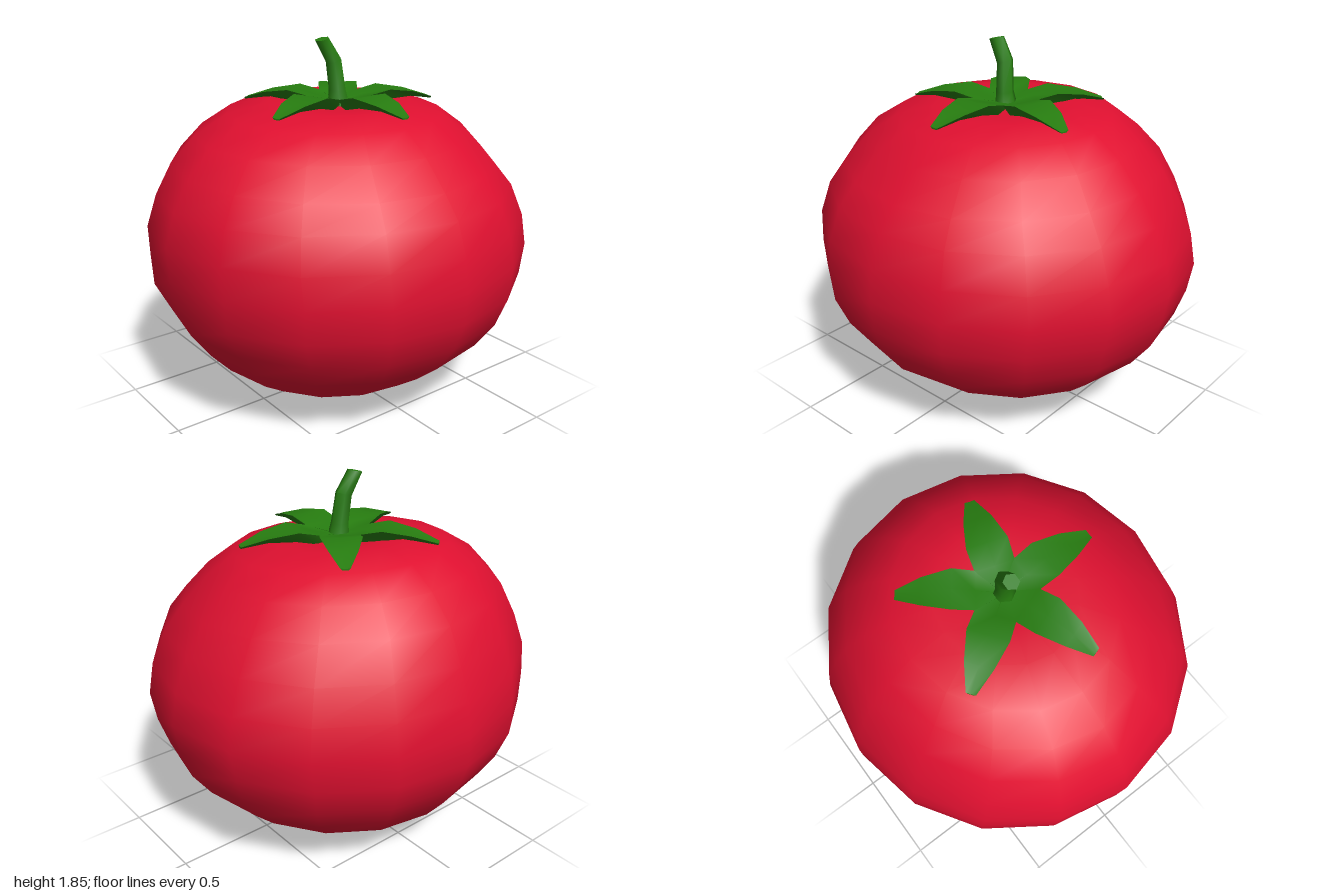
import * as THREE from 'three';
import { toCreasedNormals } from 'three/addons/utils/BufferGeometryUtils.js';

// Skin closed rings of points into a capped solid
function loft(rings) {
  const n = rings[0].length, pos = [], idx = [];
  rings.forEach(r => r.forEach(p => pos.push(...p)));
  for (let j = 0; j < rings.length - 1; j++) {
    for (let i = 0; i < n; i++) {
      const a = j * n + i, b = j * n + (i + 1) % n;
      idx.push(a, a + n, b, b, a + n, b + n);
    }
  }
  const cap = (ring, start, flip) => {
    const c = pos.length / 3;
    pos.push(...[0, 1, 2].map(k => ring.reduce((s, p) => s + p[k], 0) / n));
    for (let i = 0; i < n; i++) {
      const a = start + i, b = start + (i + 1) % n;
      idx.push(c, flip ? a : b, flip ? b : a);
    }
  };
  cap(rings[0], 0, true);
  cap(rings[rings.length - 1], (rings.length - 1) * n, false);
  const g = new THREE.BufferGeometry();
  g.setAttribute('position', new THREE.Float32BufferAttribute(pos, 3));
  g.setIndex(idx);
  g.computeVertexNormals();
  return g;
}

export function createModel() {
  const model = new THREE.Group();
  const red = new THREE.MeshStandardMaterial({ color: 0xe01030 });
  red.name = 'tomatoRed';
  const green = new THREE.MeshStandardMaterial({ color: 0x277d10 });
  green.name = 'stemGreen';
  const add = (geometry, material, name, parent = model) => {
    const m = new THREE.Mesh(geometry, material);
    m.name = name;
    parent.add(m);
    return m;
  };

  // Fruit: slightly uneven rings, [height, reach to +x, -x, +z, -z]
  const profile = [
    [0.01, 0.18, 0.20, 0.18, 0.20], [0.06, 0.35, 0.38, 0.34, 0.37],
    [0.14, 0.52, 0.54, 0.50, 0.54], [0.24, 0.69, 0.69, 0.64, 0.70],
    [0.36, 0.82, 0.80, 0.78, 0.80], [0.50, 0.92, 0.90, 0.88, 0.89],
    [0.65, 0.97, 0.98, 0.94, 0.945], [0.81, 1.00, 0.99, 0.95, 0.945],
    [0.97, 0.97, 1.00, 0.93, 0.92], [1.13, 0.90, 0.95, 0.87, 0.86],
    [1.27, 0.80, 0.87, 0.78, 0.78], [1.40, 0.68, 0.75, 0.65, 0.66],
    [1.50, 0.54, 0.58, 0.51, 0.53], [1.545, 0.35, 0.37, 0.34, 0.34],
    [1.525, 0.17, 0.18, 0.17, 0.17],
  ];
  add(loft(profile.map(([y, px, nx, pz, nz]) => Array.from({ length: 16 }, (_, i) => {
    const a = i / 16 * Math.PI * 2, c = Math.cos(a), s = Math.sin(a);
    const z = s * (s > 0 ? pz : nz);
    const tilt = y > 1.2 ? -0.04 * z : 0;
    return [c * (c > 0 ? px : nx), y + tilt, z];
  }))), red, 'fruit');

  // Calyx: five arched leaves, [distance out, half width, top, bottom]
  const calyx = new THREE.Group();
  calyx.name = 'calyx';
  model.add(calyx);
  const leafSections = [
    [0, 0.005, 1.545, 1.51], [0.13, 0.098, 1.575, 1.52], [0.24, 0.102, 1.6, 1.545],
    [0.38, 0.07, 1.578, 1.55], [0.505, 0.024, 1.538, 1.528],
  ];
  const leaf = toCreasedNormals(loft(leafSections.map(([r, w, t, b]) => [
    [w, t, r], [0.6 * w, b, r], [-0.6 * w, b, r], [-w, t, r], [0, t - 0.004, r],
  ])), 0.9);
  for (let i = 0; i < 5; i++) {
    add(leaf, green, 'leaf' + (i + 1), calyx).rotation.y = i * Math.PI * 2 / 5;
  }

  // Stem: six-sided, bent near the top, [x, y, z, radius, slope of the ring]
  const stemSections = [
    [0, 1.52, 0, 0.06, 0], [-0.01, 1.6, 0, 0.046, 0],
    [-0.022, 1.745, -0.015, 0.042, 0.3], [-0.085, 1.852, -0.025, 0.038, 0.22],
  ];
  add(toCreasedNormals(loft(stemSections.map(([x, y, z, r, k]) => Array.from({ length: 6 }, (_, i) => {
    const a = i / 6 * Math.PI * 2, dx = r * Math.cos(a);
    return [x + dx, y + k * dx, z + r * Math.sin(a)];
  }))), 1.1), green, 'stem');

  return model;
}
